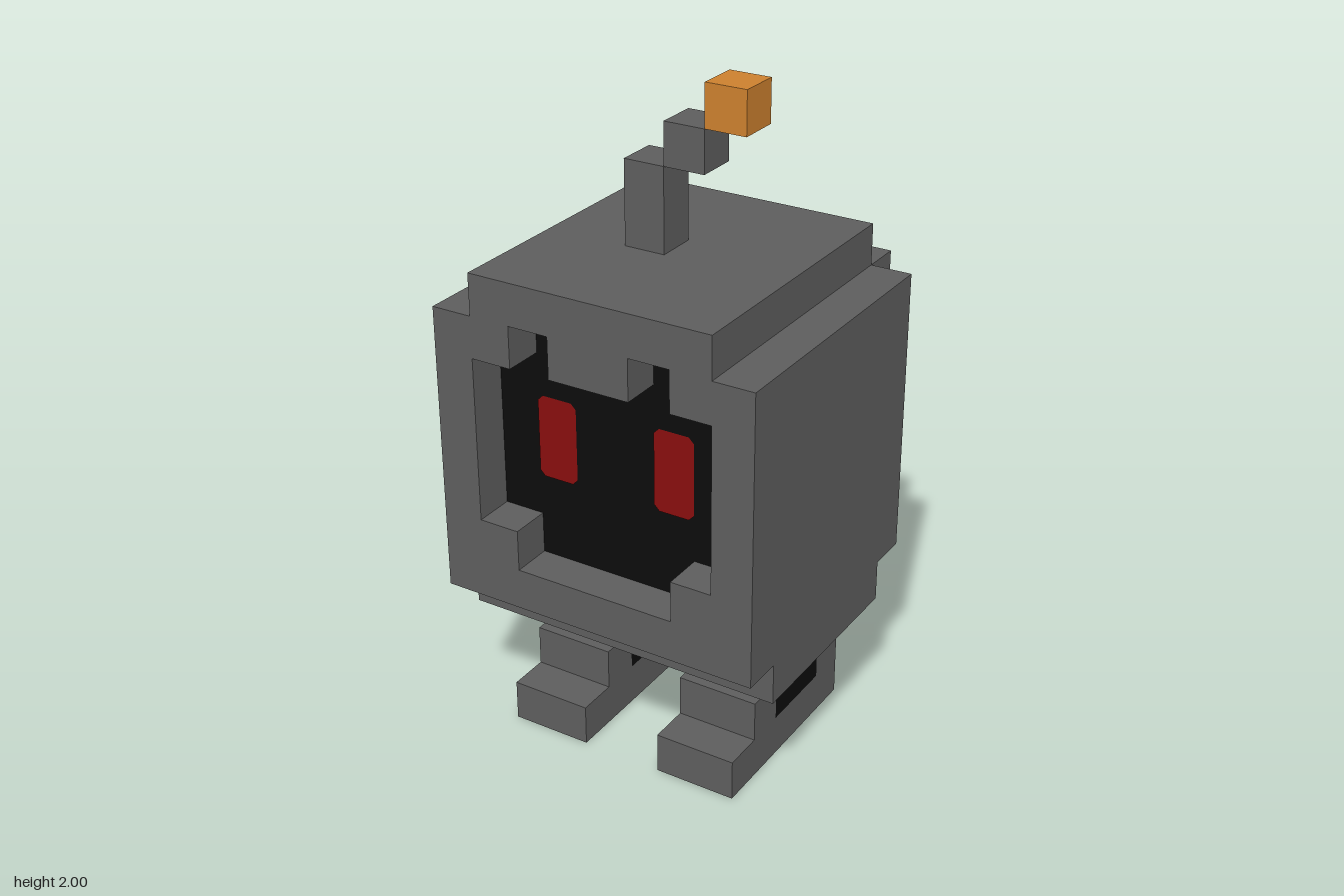
import * as THREE from 'three';

export function createModel() {
  const mat = (name, color) => {
    const m = new THREE.MeshStandardMaterial({ color });
    m.name = name;
    return m;
  };
  const grey = mat('grey metal', 0x5d5d5d);
  const black = mat('black', 0x0c0c0c);
  const red = mat('red eye', 0x880e0e);
  const orange = mat('orange lamp', 0xcb802e);

  const U = 0.125; // one block
  const model = new THREE.Group();
  model.name = 'robot';

  const add = (name, geometry, material, parent = model) => {
    const mesh = new THREE.Mesh(geometry, material);
    mesh.name = name;
    parent.add(mesh);
    return mesh;
  };
  // Box given by its limits in blocks
  const block = (name, [x0, x1], [y0, y1], [z0, z1], material, parent) => {
    const mesh = add(name, new THREE.BoxGeometry((x1 - x0) * U, (y1 - y0) * U, (z1 - z0) * U), material, parent);
    mesh.position.set((x0 + x1) / 2 * U, (y0 + y1) / 2 * U, (z0 + z1) / 2 * U);
    return mesh;
  };
  // Closed outline mirrored about x = 0, from its +x half listed bottom to top, in blocks
  const mirrored = half => [...half, ...half.map(([x, y]) => [-x, y]).reverse()]
    .map(([x, y]) => new THREE.Vector2(x * U, y * U));
  const slab = (name, shape, z0, z1) => {
    const geometry = new THREE.ExtrudeGeometry(shape, { depth: (z1 - z0) * U, bevelEnabled: false });
    add(name, geometry, grey).position.z = z0 * U;
  };

  // Body with a stepped top and a recessed face opening
  const bodyOutline = mirrored([[4, 4], [4, 11], [3, 11], [3, 12]]);
  const faceOutline = mirrored([[2, 5], [2, 6], [3, 6], [3, 10], [2, 10], [2, 11], [1, 11], [1, 10]]);
  const frame = new THREE.Shape(bodyOutline);
  frame.holes.push(new THREE.Path(faceOutline));
  slab('body', new THREE.Shape(bodyOutline), -3, 3);
  slab('faceFrame', frame, 3, 4);
  block('bodyBase', [-4, 4], [3, 4], [-2, 3], grey);

  // Face panel and eyes
  add('facePanel', new THREE.ShapeGeometry(new THREE.Shape(faceOutline)), black).position.z = 3 * U + 0.002;
  const w = U / 2, h = U, c = 0.016;
  const eyeShape = new THREE.Shape([
    [w - c, -h], [w, c - h], [w, h - c], [w - c, h], [c - w, h], [-w, h - c], [-w, c - h], [c - w, -h],
  ].map(([x, y]) => new THREE.Vector2(x, y)));
  for (const [side, s] of [['left', 1], ['right', -1]]) {
    add(side + 'Eye', new THREE.ShapeGeometry(eyeShape), red).position.set(s * 1.5 * U, 8 * U, 3 * U + 0.005);
  }

  // Back pack with notched lower corners
  slab('backPack', new THREE.Shape(mirrored([[2, 6], [2, 7], [3, 7], [3, 11]])), -4, -3);

  // Legs and stepped feet
  for (const [side, s] of [['left', 1], ['right', -1]]) {
    const leg = new THREE.Group();
    leg.name = side + 'Leg';
    leg.position.x = s * 2 * U;
    model.add(leg);
    block('sole', [-1, 1], [0, 1], [-2, 3], grey, leg);
    block('instep', [-1, 1], [1, 2], [1, 2], grey, leg);
    block('heel', [-1, 1], [1, 2], [-2, -1], grey, leg);
    block('shin', [-1, 1], [1, 3], [-1, 1], black, leg);
  }

  // Bent antenna with lamp
  block('antennaBase', [-1, 0], [12, 14], [0, 1], grey);
  block('antennaBend', [0, 1], [14, 15], [0, 1], grey);
  block('antennaLamp', [1, 2], [15, 16], [0, 1], orange);

  return model;
}
